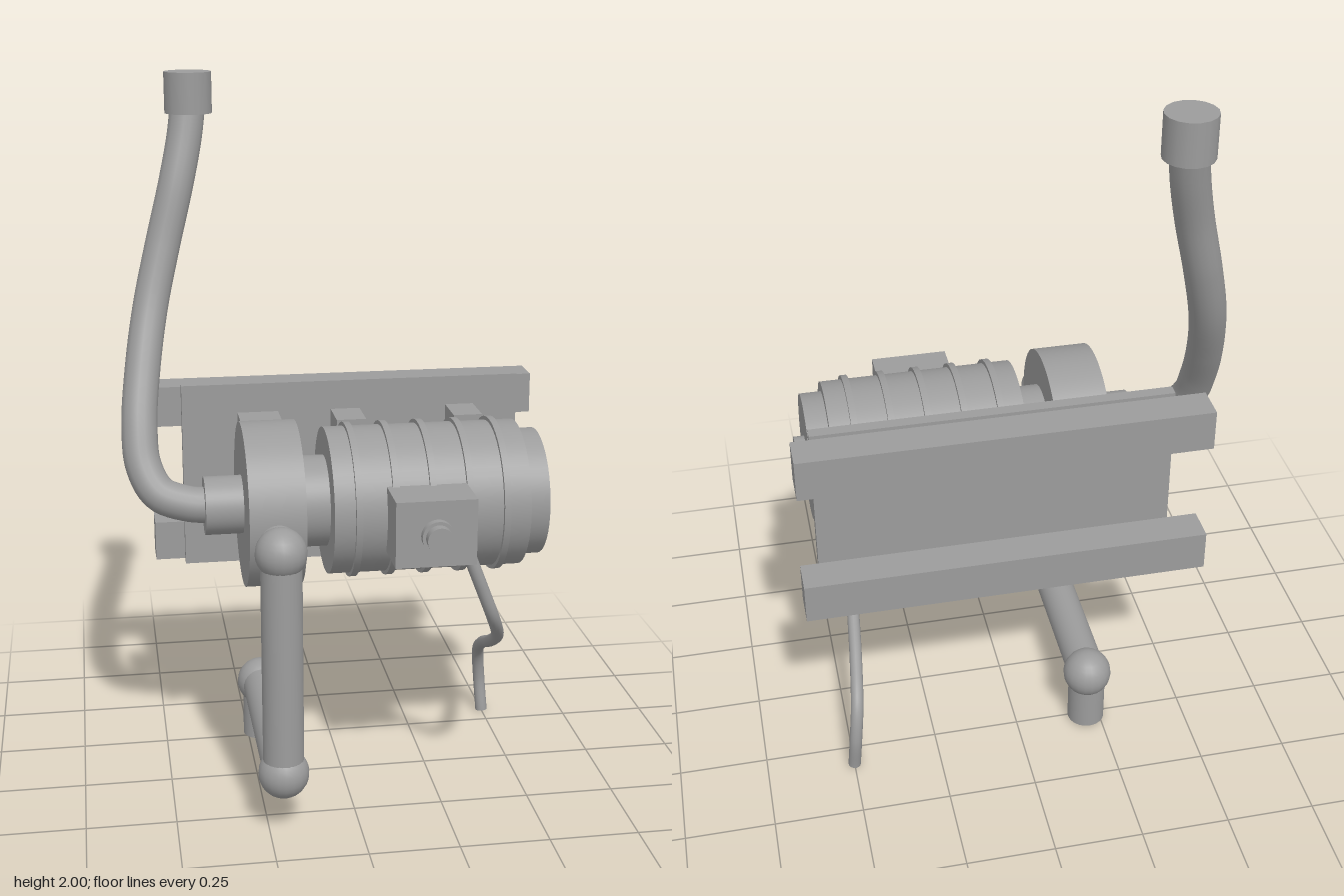
import * as THREE from 'three';

export function createModel() {
  const model = new THREE.Group();
  model.name = 'wallPump';
  const grey = new THREE.MeshStandardMaterial({ name: 'grey', color: 0x9c9c9c });

  const V = (x, y, z) => new THREE.Vector3(x, y, z);
  const UP = V(0, 1, 0);
  const AXIS_Y = 0.857, AXIS_Z = 0.05;

  function add(name, geometry) {
    const mesh = new THREE.Mesh(geometry, grey);
    mesh.name = name;
    model.add(mesh);
    return mesh;
  }
  // Box given by its limits on each axis
  function box(name, x0, x1, y0, y1, z0, z1) {
    add(name, new THREE.BoxGeometry(x1 - x0, y1 - y0, z1 - z0))
      .position.set((x0 + x1) / 2, (y0 + y1) / 2, (z0 + z1) / 2);
  }
  // Capped cylinder between two points
  function rod(name, a, b, radius, sides = 32) {
    const dir = b.clone().sub(a);
    const mesh = add(name, new THREE.CylinderGeometry(radius, radius, dir.length(), sides));
    mesh.position.copy(a).lerp(b, 0.5);
    mesh.quaternion.setFromUnitVectors(UP, dir.normalize());
  }
  // Disc on the motor axis
  function drum(name, x0, x1, radius) {
    rod(name, V(x0, AXIS_Y, AXIS_Z), V(x1, AXIS_Y, AXIS_Z), radius, 48);
  }
  function ball(name, p) {
    add(name, new THREE.SphereGeometry(0.07, 20, 14)).position.copy(p);
  }
  // Smooth tube with closed ends
  function hose(name, points, radius, segments) {
    const curve = new THREE.CatmullRomCurve3(points, false, 'centripetal');
    add(name, new THREE.TubeGeometry(curve, segments, radius, 16));
    [0, 1].forEach((t) => {
      const end = add(name + 'End', new THREE.CircleGeometry(radius, 16));
      end.position.copy(curve.getPointAt(t));
      end.quaternion.setFromUnitVectors(V(0, 0, 1), curve.getTangentAt(t).multiplyScalar(t ? 1 : -1));
    });
  }

  // Motor, cooling ribs and pump housing along the x axis
  drum('motorBody', -0.055, 0.485, 0.205);
  for (let i = 0; i < 5; i++) {
    const x = 0.011 + i * 0.1015;
    drum('motorRib', x - 0.009, x + 0.009, 0.216);
  }
  drum('motorEndCap', 0.485, 0.545, 0.178);
  drum('shaftStub', 0.545, 0.575, 0.059);
  drum('couplingNeck', -0.135, -0.055, 0.127);
  drum('pumpHousing', -0.286, -0.133, 0.229);
  drum('inletCollar', -0.39, -0.286, 0.081);

  // Inlet pipe rising to its cap
  hose('inletPipe', [
    V(-0.38, 0.857, 0.045), V(-0.43, 0.862, 0.042), V(-0.51, 0.89, 0.025), V(-0.55, 0.96, -0.015),
    V(-0.556, 1.06, -0.065), V(-0.54, 1.2, -0.145), V(-0.51, 1.36, -0.225),
    V(-0.47, 1.52, -0.275), V(-0.425, 1.69, -0.31), V(-0.395, 1.82, -0.345), V(-0.38, 1.92, -0.37)
  ], 0.05, 80);
  rod('inletCap', V(-0.38, 1.885, -0.368), V(-0.38, 2, -0.368), 0.067, 16);

  // Wall plate, rails and brackets
  box('backPlate', -0.43, 0.555, 0.59, 1.13, -0.248, -0.215);
  box('lowerRail', -0.515, 0.605, 0.595, 0.71, -0.346, -0.248);
  box('upperRail', -0.515, 0.605, 1.003, 1.12, -0.346, -0.248);
  [[-0.27, -0.152], [0.002, 0.087], [0.342, 0.425]].forEach(([x0, x1]) =>
    box('mountBracket', x0, x1, 0.673, 1.045, -0.215, -0.095));

  // Terminal box with gland
  box('terminalBox', 0.088, 0.307, 0.765, 0.948, 0.235, 0.373);
  rod('glandStem', V(0.197, 0.857, 0.37), V(0.197, 0.857, 0.43), 0.035);
  rod('glandRing', V(0.197, 0.857, 0.384), V(0.197, 0.857, 0.404), 0.044);

  // Outlet pipe with ball joints
  const top = V(-0.21, 0.81, 0.332);
  const bend = V(-0.21, 0.178, 0.34);
  const back = V(-0.21, 0.178, -0.262);
  rod('outletNeck', V(-0.21, 0.82, 0.2), top, 0.055);
  rod('outletDrop', top, bend, 0.056);
  rod('outletRun', bend, back, 0.055);
  rod('outletFoot', back, V(-0.21, 0.008, -0.262), 0.054);
  [top, bend, back].forEach((p) => ball('outletJoint', p));

  // Power cable
  hose('powerCable', [
    V(0.297, 0.78, 0.305), V(0.34, 0.67, 0.298), V(0.38, 0.57, 0.275), V(0.418, 0.48, 0.18),
    V(0.445, 0.38, 0), V(0.465, 0.29, -0.19), V(0.48, 0.215, -0.3), V(0.492, 0.12, -0.33),
    V(0.5, 0.004, -0.318)
  ], 0.018, 70);

  return model;
}
